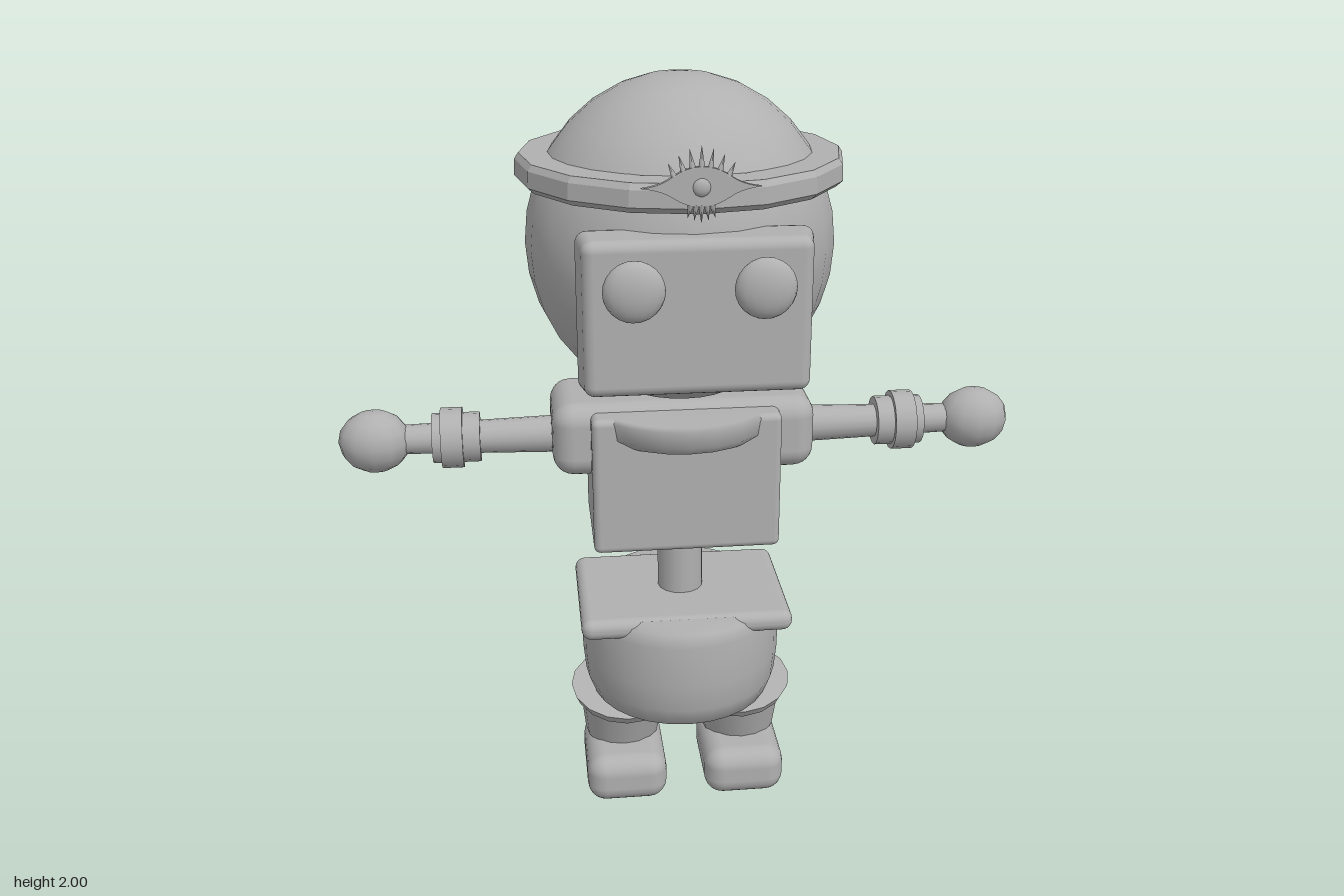
import * as THREE from 'three';
import { RoundedBoxGeometry } from 'three/addons/geometries/RoundedBoxGeometry.js';

export function createModel() {
  const root = new THREE.Group();
  root.name = 'robotDoll';
  const grey = new THREE.MeshStandardMaterial({ color: 0xb0b0b0 });
  grey.name = 'grey';
  const midZ = -0.022;

  const add = (name, geometry, x, y, z, parent = root) => {
    const mesh = new THREE.Mesh(geometry, grey);
    mesh.name = name;
    mesh.position.set(x, y, z);
    parent.add(mesh);
    return mesh;
  };
  // box given by its extents
  const block = (name, [x0, x1], [y0, y1], [z0, z1], r) =>
    add(name, new RoundedBoxGeometry(x1 - x0, y1 - y0, z1 - z0, 3, r),
      (x0 + x1) / 2, (y0 + y1) / 2, (z0 + z1) / 2);
  const ball = (name, rx, ry, rz, x, y, z, w = 24, h = 16) =>
    add(name, new THREE.SphereGeometry(1, w, h).scale(rx, ry, rz), x, y, z);
  const lathe = (pts, n) => new THREE.LatheGeometry(pts.map(p => new THREE.Vector2(...p)), n);

  // Head with flat-sided brim
  ball('head', 0.392, 0.415, 0.375, 0, 1.585, midZ);
  const brim = lathe([[0.32, 1.745], [0.395, 1.74], [0.412, 1.755], [0.41, 1.795], [0.4, 1.81], [0.32, 1.81]], 16).toNonIndexed();
  brim.computeVertexNormals();
  add('brim', brim, 0, 0, midZ);

  // Face plate, slightly narrower at the front, and eyes
  const face = new RoundedBoxGeometry(0.56, 0.39, 0.115, 3, 0.028);
  const fp = face.attributes.position;
  for (let i = 0; i < fp.count; i++) {
    const k = fp.getZ(i) > 0 ? 0.965 : 1;
    fp.setXY(i, fp.getX(i) * k, fp.getY(i) * k);
  }
  add('facePlate', face, 0, 1.495, 0.33);
  for (const s of [-1, 1]) ball('eye', 0.073, 0.073, 0.033, s * 0.152, 1.573, 0.409, 16, 12);

  // Eye-shaped ornament with lashes above and below
  const ornament = new THREE.Group();
  ornament.name = 'browOrnament';
  ornament.position.set(0, 1.812, 0.412);
  root.add(ornament);
  const lens = new THREE.Shape();
  lens.moveTo(-0.135, 0);
  lens.quadraticCurveTo(-0.09, 0.005, -0.065, 0.025);
  lens.quadraticCurveTo(0, 0.068, 0.065, 0.025);
  lens.quadraticCurveTo(0.09, 0.005, 0.135, 0);
  lens.quadraticCurveTo(0.09, -0.005, 0.065, -0.022);
  lens.quadraticCurveTo(0, -0.066, -0.065, -0.022);
  lens.quadraticCurveTo(-0.09, -0.005, -0.135, 0);
  add('lens', new THREE.ExtrudeGeometry(lens, { depth: 0.012, bevelEnabled: false, curveSegments: 8 }), 0, 0, 0, ornament);
  add('pupil', new THREE.SphereGeometry(1, 12, 8).scale(0.022, 0.022, 0.012), 0, 0, 0.008, ornament);
  const lash = (x, y, angle, length) => {
    const m = add('lash', new THREE.ConeGeometry(0.008, length, 5).translate(0, length / 2, 0), x, y, 0.006, ornament);
    m.rotation.z = angle;
  };
  for (let i = -3; i <= 3; i++) lash(i * 0.02, 0.043 - i * i * 0.0022, -i * 0.15, 0.05 - Math.abs(i) * 0.005);
  for (let i = -2; i <= 2; i++) lash(i * 0.012, -0.04, Math.PI + i * 0.12, 0.042 - Math.abs(i) * 0.006);

  // Three flat strands down the back
  for (const i of [-1, 0, 1])
    block('backStrand', [i * 0.19 - 0.054, i * 0.19 + 0.054], [i ? 0.825 : 0.96, 1.678], [-0.415, -0.366], 0.012);

  // Torso, shoulders, collar and waist
  block('torso', [-0.245, 0.245], [0.79, 1.165], [-0.155, 0.167], 0.018);
  block('shoulders', [-0.343, 0.343], [0.985, 1.183], [-0.16, 0.12], 0.055);
  add('collar', lathe([[0, 1.07], [0.2, 1.07], [0.235, 1.085], [0.262, 1.11], [0.266, 1.155], [0.258, 1.165], [0, 1.165]], 24), 0, 0, midZ);
  add('waist', new THREE.CylinderGeometry(0.062, 0.062, 0.26, 16), 0, 0.69, midZ);

  // Hips with a flat plate whose corners stick out
  add('hips', lathe([[0, 0.275], [0.215, 0.275], [0.248, 0.292], [0.268, 0.345], [0.275, 0.42],
    [0.275, 0.54], [0.262, 0.575], [0.24, 0.592], [0, 0.592]], 28), 0, 0, midZ);
  block('hipPlate', [-0.285, 0.285], [0.54, 0.598], [-0.225, 0.19], 0.027);

  for (const s of [-1, 1]) {
    // Arm, cuff bands and hand, built along x
    const tube = (name, r0, r1, x0, x1) => {
      const g = new THREE.CylinderGeometry(r1, r0, x1 - x0, 16).rotateZ(-Math.PI / 2);
      const m = add(name, g, s * (x0 + x1) / 2, 1.06, -0.03);
      m.rotation.y = s < 0 ? Math.PI : 0;
    };
    tube('arm', 0.05, 0.038, 0.3, 0.75);
    tube('wristCuff', 0.066, 0.066, 0.53, 0.655);
    tube('wristBand', 0.08, 0.08, 0.575, 0.632);
    ball('hand', 0.095, 0.084, 0.077, s * 0.805, 1.06, -0.027, 12, 8);

    // Leg with tilted cuff
    const leg = new THREE.Group();
    leg.name = 'leg';
    leg.position.set(s * 0.166, 0.21, midZ);
    leg.rotation.set(0.18, 0, s * 0.05);
    root.add(leg);
    add('shin', new THREE.CylinderGeometry(0.126, 0.104, 0.15, 16), 0, 0, 0, leg);
    add('legCuff', new THREE.CylinderGeometry(0.15, 0.137, 0.028, 16), 0, 0.068, 0, leg);
    block('foot', [s * 0.166 - 0.112, s * 0.166 + 0.112], [0, 0.142], [-0.122, 0.17], 0.052);
  }
  return root;
}
